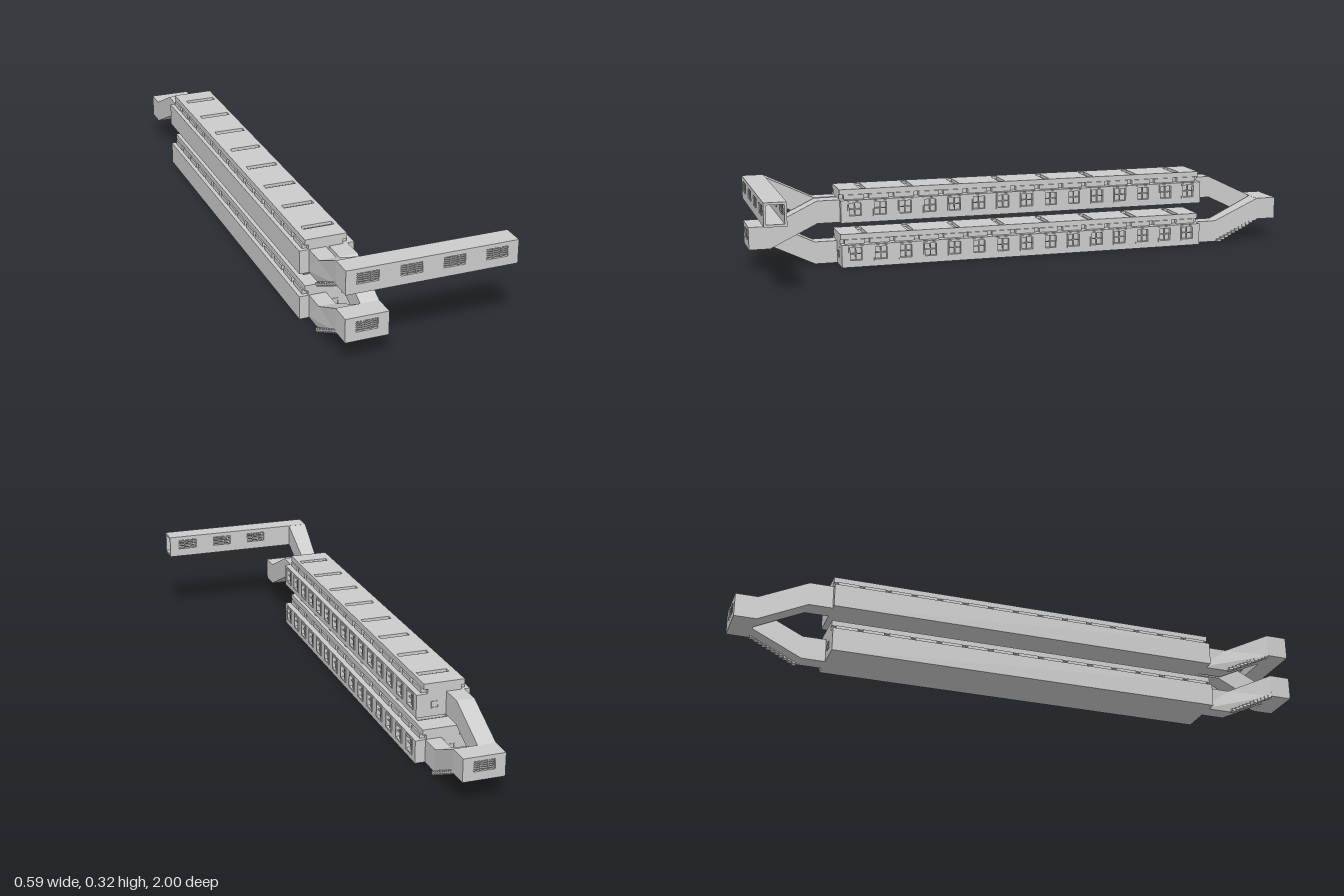
import * as THREE from 'three';

const grey = new THREE.MeshStandardMaterial({ color: 0xcccccc, flatShading: true, side: THREE.DoubleSide });

function add(parent, name, geometry) {
  const m = new THREE.Mesh(geometry, grey);
  m.name = name;
  parent.add(m);
  return m;
}

// box given by its min and max on each axis
function box(parent, name, x0, x1, y0, y1, z0, z1) {
  const g = new THREE.BoxGeometry(Math.abs(x1 - x0), Math.abs(y1 - y0), Math.abs(z1 - z0));
  g.translate((x0 + x1) / 2, (y0 + y1) / 2, (z0 + z1) / 2);
  return add(parent, name, g);
}

function rectPoints(a0, a1, b0, b1) {
  return [[a0, b0], [a1, b0], [a1, b1], [a0, b1]].map(p => new THREE.Vector2(...p));
}

function panel(a0, a1, b0, b1, holes = []) {
  const s = new THREE.Shape(rectPoints(a0, a1, b0, b1));
  holes.forEach(h => s.holes.push(new THREE.Path(rectPoints(...h))));
  return s;
}

const extrude = (shape, depth) => new THREE.ExtrudeGeometry(shape, { depth, bevelEnabled: false });

// shape drawn in (z, y), extruded from x0 to x1
function extrudeX(shape, x0, x1) {
  return extrude(shape, x1 - x0).rotateY(-Math.PI / 2).translate(x1, 0, 0);
}

// wall in the x-y plane with slatted windows
function slattedWall(parent, name, x0, x1, y, z, centres) {
  const holes = centres.map(c => [c - 0.036, c + 0.036, y + 0.03, y + 0.065]);
  add(parent, name, extrude(panel(x0, x1, y, y + 0.08, holes), 0.008).translate(0, 0, z));
  for (const c of centres) {
    for (let i = 0; i < 5; i++) {
      const sy = y + 0.034 + i * 0.0065;
      box(parent, 'windowSlat', c - 0.036, c + 0.036, sy, sy + 0.0025, z + 0.002, z + 0.006);
    }
    for (const dx of [-0.013, 0.013]) {
      box(parent, 'windowMullion', c + dx - 0.0015, c + dx + 0.0015, y + 0.03, y + 0.065, z + 0.001, z + 0.007);
    }
  }
}

// hollow cross passage; side is +1 at the front, -1 at the back
function passage(parent, name, x1, y, side, outer, inner, openEnd) {
  const g = new THREE.Group();
  g.name = name;
  const x0 = -0.275, t = 0.008;
  const za = side > 0 ? 0.925 : -1, zb = za + 0.075;
  box(g, 'floor', x0, x1, y, y + t, za, zb);
  box(g, 'ceiling', x0, x1, y + 0.08 - t, y + 0.08, za, zb);
  box(g, 'endWall', x0, x0 + t, y, y + 0.08, za, zb);
  if (!openEnd) box(g, 'endWall', x1 - t, x1, y, y + 0.08, za, zb);
  slattedWall(g, 'outerWall', x0, x1, y, side > 0 ? zb - t : za, outer);
  slattedWall(g, 'innerWall', x0, x1, y, side > 0 ? za : zb - t, inner);
  parent.add(g);
}

// sloping stair tunnel from a hall at y to a passage at y + rise
function ramp(parent, x0, x1, y, rise, side, flareEdge) {
  const g = new THREE.Group();
  g.name = 'stairTunnel';
  const pts = [[0.66, y], [0.76, y], [0.926, y + rise], [0.926, y + rise + 0.08], [0.76, y + 0.08], [0.66, y + 0.08]];
  const geo = extrudeX(new THREE.Shape(pts.map(([z, h]) => new THREE.Vector2(z * side, h))), x0, x1);
  if (flareEdge) {
    // the outer wall narrows towards the hall
    const pos = geo.attributes.position;
    const edge = flareEdge < 0 ? x0 : x1;
    for (let i = 0; i < pos.count; i++) {
      if (Math.abs(pos.getX(i) - edge) < 1e-4 && Math.abs(pos.getZ(i)) < 0.8) pos.setX(i, edge - flareEdge * 0.013);
    }
    geo.computeVertexNormals();
    // stair treads showing beside the narrowed wall
    for (let i = 0; i < 11; i++) {
      const z = 0.765 + i * 0.0145, h = y + rise * (i + 0.5) / 11;
      box(g, 'stairTread', edge, edge - flareEdge * 0.02, h - 0.003, h + 0.006, z * side, (z + 0.0145) * side);
    }
  }
  add(g, 'tunnelShell', geo);
  parent.add(g);
}

// square doorway frame on the end of a hall
function doorway(parent, x, y, side) {
  const s = extrude(panel(x - 0.013, x + 0.013, y - 0.012, y + 0.012, [[x - 0.01, x + 0.01, y - 0.009, y + 0.009]]), 0.004);
  add(parent, 'doorFrame', s.translate(0, 0, side * 0.68 - 0.002));
  add(parent, 'endLamp', new THREE.CylinderGeometry(0.002, 0.002, 0.004, 8).rotateX(Math.PI / 2)
    .translate(x + 0.025, y + 0.028, side * 0.68));
}

function hall(parent, y) {
  const g = new THREE.Group();
  g.name = 'hall';
  const L = 0.68, n = 15, step = 0.09;
  box(g, 'hallBody', -0.295, -0.122, y, y + 0.08, -L, L);

  // window wall along the +x side
  const holes = [];
  for (let i = 0; i < n; i++) {
    const z = (i - (n - 1) / 2) * step;
    const hole = [z - 0.021, z + 0.021, y + 0.025, y + 0.07];
    holes.push(hole);
    add(g, 'windowFrame', extrudeX(panel(z - 0.026, z + 0.026, y + 0.02, y + 0.076, [hole]), -0.111, -0.107));
    box(g, 'windowBar', -0.119, -0.113, y + 0.046, y + 0.049, z - 0.021, z + 0.021);
    box(g, 'windowBar', -0.119, -0.113, y + 0.025, y + 0.07, z - 0.0015, z + 0.0015);

    // blocks under the roof edges
    box(g, 'eaveBlock', -0.281, -0.13, y + 0.08, y + 0.096, z - 0.036, z + 0.036);

    // small lamps below the floor
    for (const x of [-0.25, -0.15]) {
      add(g, 'floorLamp', new THREE.CylinderGeometry(0.005, 0.005, 0.003, 8).translate(x, y + 0.0015, z));
    }
  }
  add(g, 'windowWall', extrudeX(panel(-L, L, y, y + 0.08, holes), -0.122, -0.11));

  // raised roof with cross slots
  box(g, 'roofBase', -0.265, -0.148, y + 0.08, y + 0.098, -L, L);
  const slots = [];
  for (let i = 0; i < 8; i++) {
    const z = (i - 3.5) * 0.17;
    slots.push([-0.253, -0.147, z - 0.011, z + 0.011]);
    box(g, 'roofLight', -0.247, -0.153, y + 0.097, y + 0.108, z - 0.005, z + 0.005);
  }
  add(g, 'roofSlab', extrude(panel(-0.276, -0.135, -L, L, slots), 0.019).rotateX(Math.PI / 2).translate(0, y + 0.115, 0));
  parent.add(g);
  return g;
}

export function createModel() {
  const model = new THREE.Group();
  model.name = 'stationHalls';

  const lower = hall(model, 0);
  const upper = hall(model, 0.16);
  doorway(lower, -0.174, 0.04, 1);
  doorway(lower, -0.235, 0.04, -1);
  doorway(upper, -0.174, 0.2, -1);

  // front stairs: both halls climb on the -x lane, the upper hall also descends on the +x lane
  ramp(model, -0.275, -0.205, 0, 0.08, 1, -1);
  ramp(model, -0.275, -0.205, 0.16, 0.08, 1, -1);
  ramp(model, -0.195, -0.132, 0.16, -0.08, 1, 0);

  // back stairs
  ramp(model, -0.2, -0.132, 0, 0.08, -1, 1);
  ramp(model, -0.275, -0.213, 0.16, -0.08, -1, 0);

  // landings and the long exit bridge
  passage(model, 'frontLanding', -0.132, 0.08, 1, [-0.204], [], false);
  passage(model, 'backLanding', -0.132, 0.08, -1, [-0.204], [], false);
  passage(model, 'exitBridge', 0.295, 0.24, 1, [-0.204, -0.062, 0.08, 0.223], [-0.062, 0.08, 0.223], true);

  return model;
}
